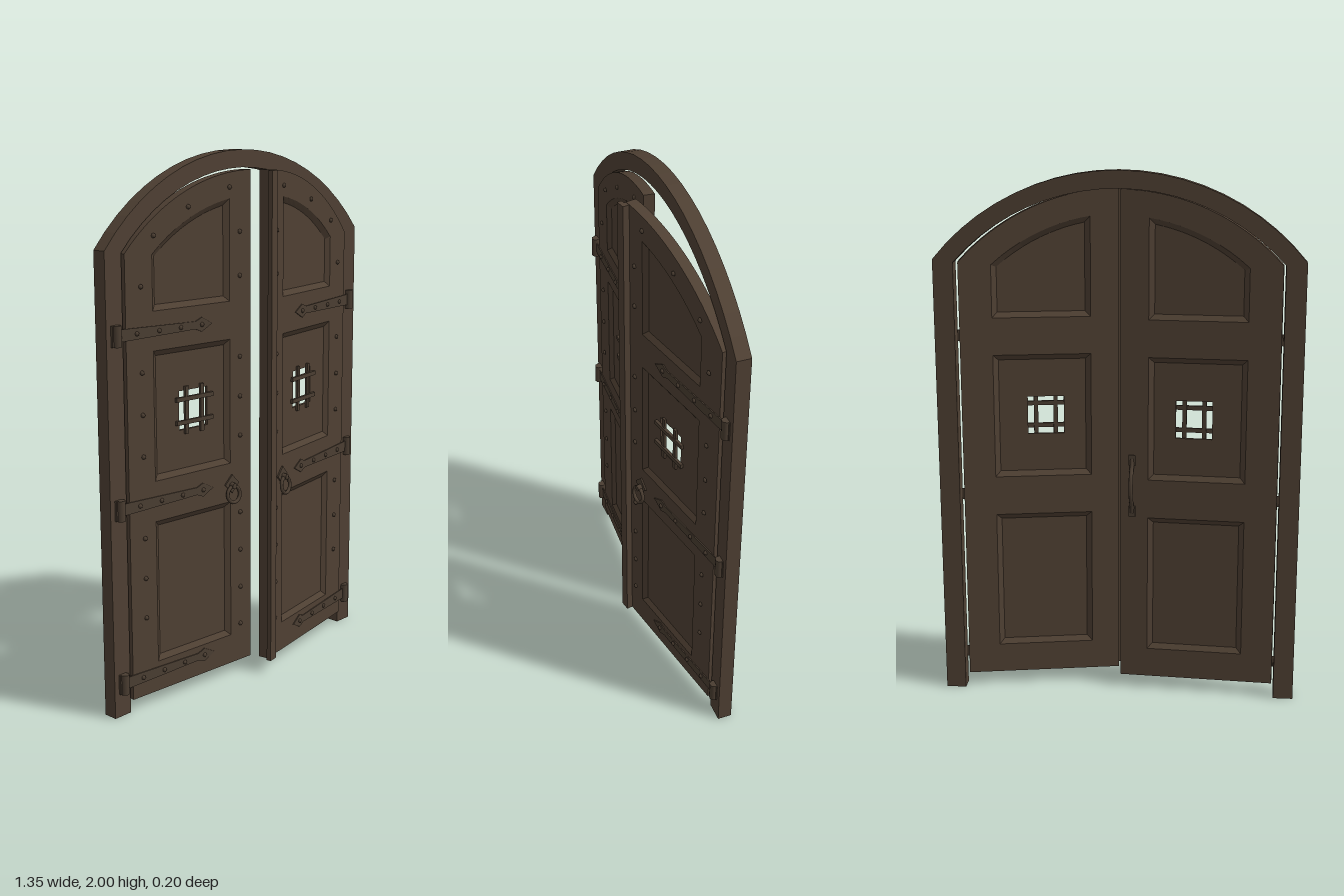
import * as THREE from 'three';
import { mergeGeometries } from 'three/addons/utils/BufferGeometryUtils.js';

const ARCH_Y = 1.128;   // height of the arch centre
const HINGE_X = 0.6;    // hinge line, measured from the middle
const THICK = 0.04;     // leaf thickness
const RECESS = 0.014;   // depth of the panel recess
const WINDOW = { x: 0.32, y: 1.085, w: 0.068, h: 0.072 };

const V = (x, y) => new THREE.Vector2(x, y);

// Arc about the arch centre, sampled from x0 to x1; cx is the centre's x
function arc(cx, r, x0, x1, n) {
  const pts = [];
  for (let i = 0; i <= n; i++) {
    const x = x0 + (x1 - x0) * i / n;
    pts.push(V(x, ARCH_Y + Math.sqrt(r * r - (x - cx) ** 2)));
  }
  return pts;
}

// Arc with even angular steps, for the frame
function frameArc(r, halfWidth, dir, n = 20) {
  const a = Math.asin(halfWidth / r);
  return Array.from({ length: n + 1 }, (_, i) => {
    const t = dir * a * (1 - 2 * i / n);
    return V(r * Math.sin(t), ARCH_Y + r * Math.cos(t));
  });
}

function extrude(pts, holes, z0, depth) {
  const shape = new THREE.Shape(pts);
  holes.forEach(h => shape.holes.push(new THREE.Path(h)));
  return new THREE.ExtrudeGeometry(shape, { depth, bevelEnabled: false }).translate(0, 0, z0);
}

function box(x0, x1, y0, y1, z0, z1) {
  return new THREE.BoxGeometry(x1 - x0, y1 - y0, z1 - z0)
    .translate((x0 + x1) / 2, (y0 + y1) / 2, (z0 + z1) / 2);
}

// Panel outline in leaf coordinates; the top panel follows the arch
function panelOutline(p, inset) {
  const x0 = 0.125 + inset, x1 = 0.49 - inset;
  const top = p.arched ? arc(HINGE_X, 0.71 - inset, x1, x0, 10)
    : [V(x1, p.y1 - inset), V(x0, p.y1 - inset)];
  return [V(x0, p.y0 + inset), V(x1, p.y0 + inset), ...top];
}

// Sloped moulding between two outlines
function moulding(outer, inner, zOuter, zInner, back) {
  const pos = [];
  outer.forEach((_, i) => {
    const j = (i + 1) % outer.length;
    const q = [[outer[i], zOuter], [outer[j], zOuter], [inner[j], zInner], [inner[i], zInner]];
    const order = back ? [0, 2, 1, 0, 3, 2] : [0, 1, 2, 0, 2, 3];
    order.forEach(k => pos.push(q[k][0].x, q[k][0].y, q[k][1]));
  });
  const g = new THREE.BufferGeometry();
  g.setAttribute('position', new THREE.Float32BufferAttribute(pos, 3));
  g.computeVertexNormals();
  return g;
}

// Mirrors a geometry across x and restores its winding
function mirrorX(geo) {
  const g = geo.index ? geo.toNonIndexed() : geo.clone();
  for (const name of ['position', 'normal']) {
    const a = g.attributes[name];
    for (let i = 0; i < a.count; i += 3) {
      const v = [0, 2, 1].map(k => [-a.getX(i + k), a.getY(i + k), a.getZ(i + k)]);
      v.forEach((p, k) => a.setXYZ(i + k, ...p));
    }
  }
  g.deleteAttribute('uv');
  return g;
}

const PANELS = [
  { y0: 0.165, y1: 0.7 },
  { y0: 0.85, y1: 1.32, window: true },
  { y0: 1.46, arched: true },
];

function buildLeaf(name, mirrored, wood, iron) {
  const leaf = new THREE.Group();
  leaf.name = name;
  const add = (part, geo, mat) => {
    const mesh = new THREE.Mesh(mirrored ? mirrorX(geo) : geo, mat);
    mesh.name = part;
    leaf.add(mesh);
  };

  // Stiles and rails, cut out for the panels
  const outline = [V(0.005, 0.05), V(0.595, 0.05), ...arc(HINGE_X, 0.802, 0.595, 0.005, 20)];
  add('leafFrame', extrude(outline, PANELS.map(p => panelOutline(p, 0)), -THICK, THICK), wood);

  // Recessed panels with sloped mouldings on both faces
  const { x, y, w, h } = WINDOW;
  const hole = [V(x - w, y - h), V(x + w, y - h), V(x + w, y + h), V(x - w, y + h)];
  for (const p of PANELS) {
    const outer = panelOutline(p, 0), inner = panelOutline(p, 0.02);
    add('panel', extrude(inner, p.window ? [hole] : [], RECESS - THICK, THICK - 2 * RECESS), wood);
    add('frontMoulding', moulding(outer, inner, 0, -RECESS, false), wood);
    add('backMoulding', moulding(outer, inner, -THICK, RECESS - THICK, true), wood);
  }

  // Window grille
  for (const s of [-1, 1]) {
    const bx = x + s * 0.037, by = y + s * 0.043;
    add('grilleUpright', box(bx - 0.008, bx + 0.008, y - 0.088, y + 0.088, -0.015, -0.005), iron);
    add('grilleCrossbar', box(x - 0.088, x + 0.088, by - 0.008, by + 0.008, -0.012, -0.001), iron);
  }

  // Strap hinges with pins and rivets
  for (const hy of [1.39, 0.775, 0.125]) {
    const strap = [V(-0.035, hy - 0.022), V(0.32, hy - 0.014), V(0.35, hy - 0.026), V(0.4, hy),
      V(0.35, hy + 0.026), V(0.32, hy + 0.014), V(-0.035, hy + 0.022)];
    add('hingeStrap', extrude(strap, [], 0, 0.004), iron);
    add('hingePin', new THREE.CylinderGeometry(0.016, 0.016, 0.075, 10).translate(-0.035, hy, 0.003), iron);
    add('hingePlate', box(-0.055, -0.03, hy - 0.037, hy + 0.037, -0.012, 0.003), iron);
  }

  // Round-headed studs
  const spots = [];
  for (const sy of [0.35, 0.5, 0.65, 0.95, 1.1, 1.25, 1.55]) spots.push([0.07, sy], [0.54, sy]);
  spots.push([0.13, 1.72], [0.29, 1.81], [0.54, 1.71], [0.49, 1.87], [0.54, 0.2]);
  for (const hy of [1.39, 0.775, 0.125])
    for (const sx of [0.05, 0.15, 0.25, 0.35]) spots.push([sx, hy]);
  const studs = spots.map(([sx, sy]) => new THREE.SphereGeometry(0.009, 8, 4, 0, Math.PI * 2, 0, Math.PI / 2)
    .rotateX(Math.PI / 2).translate(sx, sy, sx > 0.04 && sx < 0.4 ? 0.003 : 0));
  add('studs', mergeGeometries(studs), iron);

  // Ring pull on a diamond plate
  add('ringPlate', new THREE.BoxGeometry(0.05, 0.05, 0.006).rotateZ(Math.PI / 4).translate(0.495, 0.77, 0.003), iron);
  add('ringBoss', new THREE.CylinderGeometry(0.011, 0.013, 0.024, 10).rotateX(Math.PI / 2).translate(0.492, 0.765, 0.012), iron);
  add('ringPull', new THREE.TorusGeometry(0.031, 0.007, 8, 20).rotateX(-0.12).translate(0.492, 0.732, 0.017), iron);

  if (mirrored) {
    // Cover strip over the meeting edge
    add('coverStrip', box(0.573, 0.597, 0.05, 1.928, 0, 0.024), wood);
    add('coverLip', box(0.59, 0.612, 0.05, 1.928, 0.006, 0.024), wood);
  } else {
    // Curved pull handle on the back
    const curve = new THREE.CatmullRomCurve3([[0.72, -0.041], [0.75, -0.05], [0.79, -0.075], [0.86, -0.075],
      [0.9, -0.05], [0.93, -0.041]].map(([py, pz]) => new THREE.Vector3(0.55, py, pz)));
    add('backHandle', new THREE.TubeGeometry(curve, 20, 0.008, 8), iron);
    for (const py of [0.725, 0.925]) add('backHandlePlate', box(0.537, 0.563, py - 0.02, py + 0.02, -0.046, -0.04), iron);
  }
  return leaf;
}

export function createModel() {
  const wood = new THREE.MeshStandardMaterial({ color: 0x4f4033 });
  wood.name = 'darkWood';
  const iron = new THREE.MeshStandardMaterial({ color: 0x4a3d31 });
  iron.name = 'agedIron';

  const model = new THREE.Group();
  model.name = 'archedDoubleDoor';

  // Arched frame with an open foot
  const surround = new THREE.Mesh(extrude([
    V(-0.675, 0), V(-0.6, 0), ...frameArc(0.808, 0.6, -1),
    V(0.6, 0), V(0.675, 0), ...frameArc(0.872, 0.675, 1),
  ], [], -0.102, 0.054), wood);
  surround.name = 'doorFrame';
  model.add(surround);

  // Two leaves, each standing a little open
  const left = buildLeaf('rightLeaf', false, wood, iron);
  left.position.set(-HINGE_X, 0, -0.038);
  left.rotation.y = -0.064;
  const right = buildLeaf('leftLeaf', true, wood, iron);
  right.position.set(HINGE_X, 0, -0.038);
  right.rotation.y = 0.185;
  model.add(left, right);
  return model;
}
